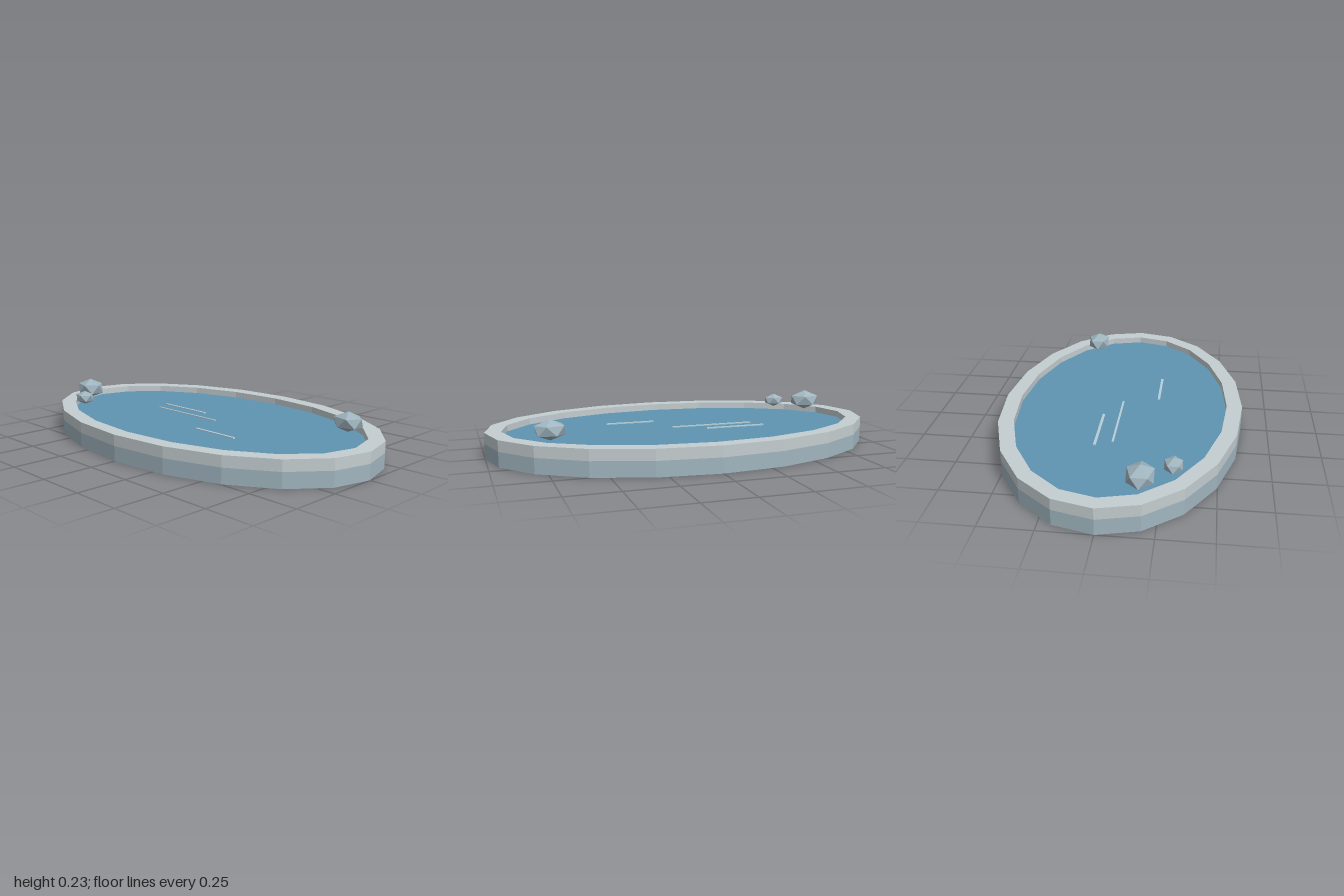
import * as THREE from 'three';

const SIDES = 20;

// Corner points of a 20-sided oval
function ovalPoints(rx, rz) {
  return Array.from({ length: SIDES }, (_, i) => {
    const a = (i / SIDES) * Math.PI * 2;
    return new THREE.Vector2(Math.cos(a) * rx, Math.sin(a) * rz);
  });
}

// Upright oval slab from y0 to y1, optionally with an oval opening
function ovalSlab(rx, rz, y0, y1, hole) {
  const shape = new THREE.Shape(ovalPoints(rx, rz));
  if (hole) shape.holes.push(new THREE.Path(ovalPoints(...hole).reverse()));
  const geometry = new THREE.ExtrudeGeometry(shape, { depth: y1 - y0, bevelEnabled: false });
  return geometry.rotateX(-Math.PI / 2).translate(0, y0, 0);
}

function flat(name, color) {
  return new THREE.MeshStandardMaterial({ name, color, flatShading: true });
}

export function createModel() {
  const group = new THREE.Group();
  group.name = 'pond';

  const basinStone = flat('basin stone', 0xa0b5bf);
  const rimStone = flat('rim stone', 0xc4cdd0);
  const waterBlue = flat('water blue', 0x5f94b2);
  const glintPale = flat('glint pale', 0xb4cfda);

  const add = (name, geometry, material) => {
    const mesh = new THREE.Mesh(geometry, material);
    mesh.name = name;
    group.add(mesh);
    return mesh;
  };

  // Solid base, raised rim and the water inside it
  add('basin', ovalSlab(1, 0.615, 0, 0.075), basinStone);
  add('rim', ovalSlab(1, 0.615, 0.075, 0.13, [0.92, 0.537]), rimStone);
  add('water', ovalSlab(0.925, 0.542, 0.076, 0.097), waterBlue);

  // Thin ripple glints on the water: x start, x end, z, width
  const glints = [
    [-0.43, -0.11, -0.085, 0.013],
    [-0.39, 0.05, -0.003, 0.01],
    [0.10, 0.36, 0.18, 0.013],
  ];
  glints.forEach(([x0, x1, z, w], i) => {
    const bar = add('rippleGlint' + (i + 1), new THREE.BoxGeometry(x1 - x0, 0.008, w), glintPale);
    bar.position.set((x0 + x1) / 2, 0.099, z);
  });

  // Squashed faceted rocks, point upwards: centre, then radii
  const rocks = [
    [[-0.80, 0.177, 0.169], [0.089, 0.053, 0.0705]],
    [[-0.67, 0.16, 0.303], [0.06, 0.036, 0.048]],
    [[0.715, 0.172, -0.233], [0.084, 0.05, 0.0655]],
  ];
  const rockShape = new THREE.IcosahedronGeometry(1, 0).rotateZ(-Math.atan(2 / (1 + Math.sqrt(5))));
  rocks.forEach(([centre, radii], i) => {
    const rock = add('rock' + (i + 1), rockShape, basinStone);
    rock.position.set(...centre);
    rock.scale.set(...radii);
  });

  return group;
}
